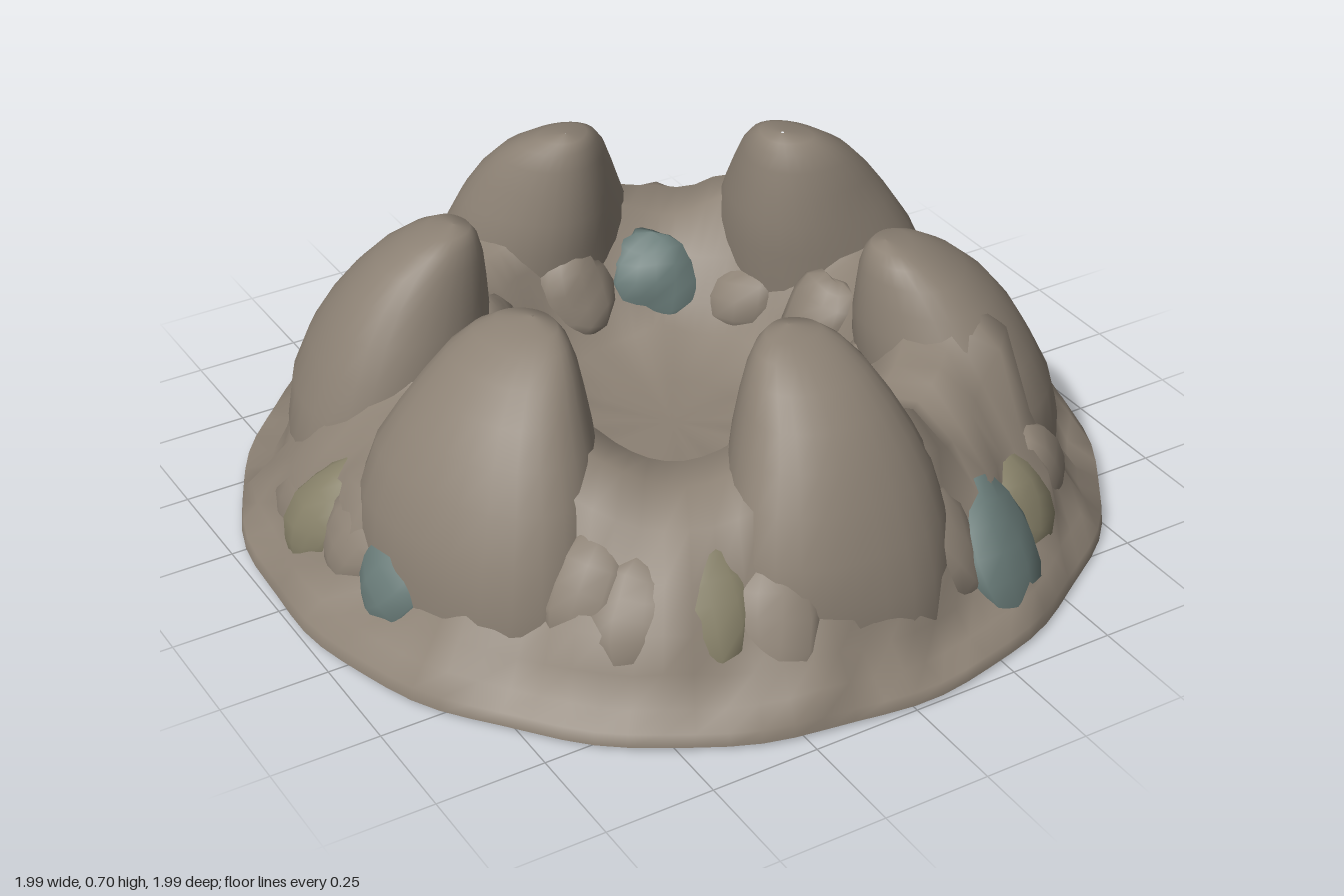
import * as THREE from 'three';

const STONE = new THREE.MeshStandardMaterial({ color: 0x8c8174 });
const MOSSY = new THREE.MeshStandardMaterial({ color: 0x868068 });
const TEAL = new THREE.MeshStandardMaterial({ color: 0x687a77 });

// Small seeded generator
function seeded(seed) {
  return () => {
    seed = (seed * 16807) % 2147483647;
    return seed / 2147483647;
  };
}

// Smooth bumps used to weather every stone surface
function bump(x, y, z, f) {
  return (Math.sin(f * x + 1.3 + 2 * Math.sin(f * 0.6 * z)) +
    Math.sin(f * 1.2 * z + 2.1 + 1.5 * Math.sin(f * 0.7 * x)) +
    Math.sin(f * 1.1 * y + f * 0.8 * (x - z))) / 3;
}

// Closed surface through rings; point(i, t) gives [x, y, z]
function loft(rows, segments, point) {
  const pos = [], index = [];
  for (let i = 0; i < rows; i++)
    for (let j = 0; j < segments; j++) pos.push(...point(i, (j / segments) * Math.PI * 2));
  for (let i = 0; i < rows - 1; i++)
    for (let j = 0; j < segments; j++) {
      const k = (j + 1) % segments;
      const a = i * segments + j, b = i * segments + k;
      index.push(a, b, b + segments, a, b + segments, a + segments);
    }
  const g = new THREE.BufferGeometry();
  g.setAttribute('position', new THREE.Float32BufferAttribute(pos, 3));
  g.setIndex(index);
  g.computeVertexNormals();
  return g;
}

// Round mound with a flat underside, a ridge and a central crater: [radius, height]
const MOUND = [[0, 0], [1, 0], [1, 0], [0.995, 0.03], [0.95, 0.06], [0.905, 0.11], [0.87, 0.18], [0.81, 0.27],
  [0.73, 0.35], [0.63, 0.4], [0.53, 0.39], [0.46, 0.35], [0.4, 0.25], [0.34, 0.17], [0.18, 0.15], [0, 0.15]];

function moundGeometry() {
  return loft(MOUND.length, 90, (i, t) => {
    const [r, y] = MOUND[i];
    const x = Math.sin(t), z = Math.cos(t);
    const edge = 0.992 + 0.004 * Math.sin(9 * t) + 0.004 * Math.sin(17 * t + 1);
    const n = i > 3 && r > 0.2 ? bump(x * r, y, z * r, 13) + 0.7 * bump(z * r, y, x * r, 27) : 0;
    const rr = r * edge + n * 0.022;
    // The ridge climbs towards each claw and dips between them
    const saddle = r > 0.5 && r < 0.75 ? 0.05 * (1 + Math.cos(6 * t)) : 0;
    return [x * rr, y + n * 0.026 + saddle, z * rr];
  });
}

// Hunched boulder sections: [height, inner radius, outer radius, half width]
const CLAW = [[0, 0.45, 0.89, 0.25], [0.1, 0.44, 0.89, 0.265], [0.2, 0.43, 0.88, 0.275], [0.3, 0.42, 0.86, 0.265],
  [0.4, 0.41, 0.82, 0.24], [0.48, 0.41, 0.775, 0.205], [0.55, 0.415, 0.72, 0.17], [0.61, 0.42, 0.655, 0.135],
  [0.65, 0.43, 0.59, 0.1], [0.672, 0.445, 0.54, 0.065], [0.68, 0.48, 0.48, 0]];

function clawGeometry(seed) {
  return loft(CLAW.length, 28, (i, t) => {
    const [y, inner, outer, width] = CLAW[i];
    const c = Math.cos(t), s = Math.sin(t);
    const r = (inner + outer) / 2 + c * (outer - inner) / 2;
    // Narrower towards the crater, broad on the outside
    const x = s * width * (1 + 0.18 * c);
    const n = bump(x + seed, y, r, 9) * 0.03 * (1 - y / 0.8);
    return [x + s * n, y, r + c * n];
  });
}

// Lumpy boulder of unit size
function rockGeometry(seed) {
  return loft(9, 12, (i, t) => {
    const p = (i / 8) * Math.PI;
    const x = Math.sin(p) * Math.sin(t), y = -Math.cos(p), z = Math.sin(p) * Math.cos(t);
    const k = 1 + 0.25 * bump(x + seed, y, z - seed, 3);
    return [x * k, y * k, z * k];
  });
}

export function createModel() {
  const group = new THREE.Group();
  const add = (name, geometry, material) => {
    const mesh = new THREE.Mesh(geometry, material);
    mesh.name = name;
    group.add(mesh);
    return mesh;
  };

  add('craterMound', moundGeometry(), STONE);

  // Six claws in a ring: [x, z, width scale, height scale]
  const claws = [[0, 0.65, 0.93, 0.98], [0.6, 0.3, 0.96, 0.9], [0.6, -0.3, 0.98, 1.01],
    [0, -0.65, 0.93, 1], [-0.6, -0.32, 0.9, 1.01], [-0.63, 0.25, 1.12, 0.98]];
  claws.forEach(([x, z, w, h], i) => {
    const claw = add('claw' + (i + 1), clawGeometry(i * 1.7), STONE);
    claw.rotation.y = Math.atan2(x, z);
    claw.scale.set(w, h, 1);
  });

  // Leaning stones mostly buried in the slope between the claws
  const rand = seeded(41);
  for (let i = 0; i < 24; i++) {
    const a = (Math.floor(i / 4) + 0.5 + ((i % 4) - 1.5) * 0.16) * (Math.PI / 3);
    const r = 0.77 + rand() * 0.08;
    const material = i % 6 === 1 ? TEAL : i % 5 === 2 ? MOSSY : STONE;
    const rock = add('footRock' + (i + 1), rockGeometry(i), material);
    rock.position.set(Math.sin(a) * r, 0.13 + (0.85 - r) * 1.2, Math.cos(a) * r);
    rock.scale.set(0.09 + rand() * 0.04, 0.1 + rand() * 0.06, 0.06 + rand() * 0.015);
    rock.rotation.set(-0.55, a, (rand() - 0.5) * 1.2, 'YXZ');
  }

  // Low stones lining the crater wall
  for (let i = 0; i < 12; i++) {
    const a = (i + rand() * 0.4) * (Math.PI / 6);
    const rock = add('craterRock' + (i + 1), rockGeometry(i + 30), i % 4 === 1 ? TEAL : STONE);
    rock.position.set(Math.sin(a) * 0.43, 0.24 + rand() * 0.05, Math.cos(a) * 0.43);
    rock.scale.set(0.1, 0.11, 0.06);
    rock.rotation.set(0.4, a, 0, 'YXZ');
  }
  return group;
}
